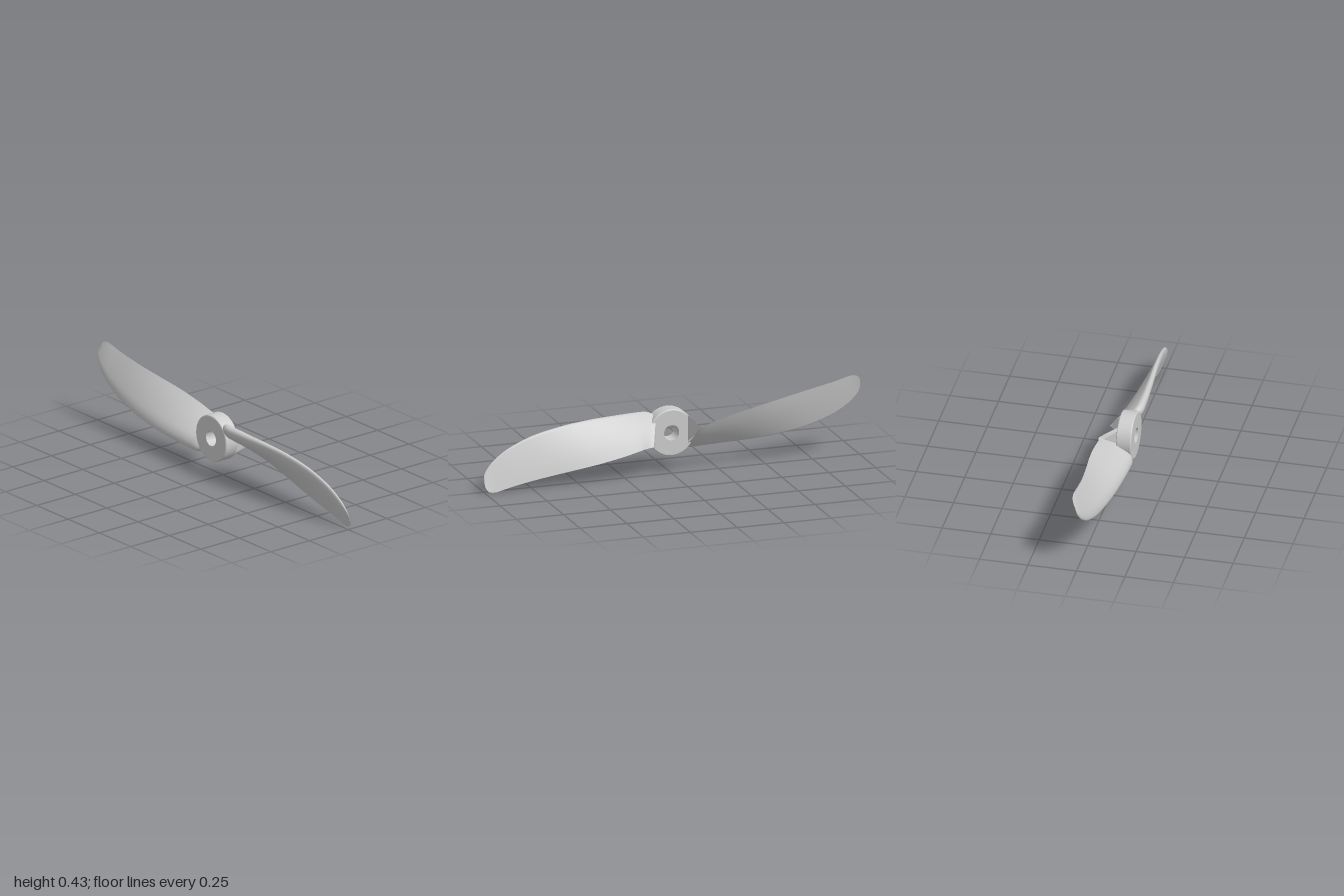
import * as THREE from 'three';
import { toCreasedNormals } from 'three/addons/utils/BufferGeometryUtils.js';
import { ConvexGeometry } from 'three/addons/geometries/ConvexGeometry.js';

const HUB_Y = 0.212;
const material = new THREE.MeshStandardMaterial({ color: 0xcccccc });
const bladeMaterial = new THREE.MeshStandardMaterial({ color: 0xcccccc, side: THREE.DoubleSide });
const v3 = (p) => new THREE.Vector3(...p);

// Ring hub with softened rims, its axis along z
function hubGeometry() {
  const hole = 0.04, R = 0.122, back = -0.002, front = 0.077, b = 0.007;
  const profile = [[hole, back], [R - b, back]];
  for (let i = 1; i <= 4; i++) {
    const a = (i / 4) * Math.PI / 2;
    profile.push([R - b + b * Math.sin(a), back + b - b * Math.cos(a)]);
  }
  for (let i = 0; i <= 4; i++) {
    const a = (i / 4) * Math.PI / 2;
    profile.push([R - b + b * Math.cos(a), front - b + b * Math.sin(a)]);
  }
  profile.push([hole, front], [hole, back]);
  const lathe = new THREE.LatheGeometry(profile.map((p) => new THREE.Vector2(...p)), 72);
  return toCreasedNormals(lathe.rotateX(Math.PI / 2), 0.15);
}

// Stations from root to tip:
// x, leading edge y z, trailing edge y z, back nose radius, back camber, front bulge
const stations = [
  [0.085, 0.300, 0.066, 0.171, -0.087, 0.013, 0.014, 0.030],
  [0.12, 0.308, 0.080, 0.168, -0.084, 0.017, 0.014, 0.035],
  [0.18, 0.309, 0.080, 0.158, -0.077, 0.016, 0.013, 0.034],
  [0.28, 0.307, 0.075, 0.132, -0.073, 0.014, 0.012, 0.030],
  [0.42, 0.302, 0.065, 0.102, -0.064, 0.012, 0.010, 0.025],
  [0.57, 0.288, 0.051, 0.075, -0.048, 0.010, 0.008, 0.021],
  [0.73, 0.257, 0.037, 0.046, -0.033, 0.008, 0.004, 0.017],
  [0.86, 0.208, 0.024, 0.020, -0.028, 0.006, 0.002, 0.014],
  [0.94, 0.157, 0.014, 0.000, -0.026, 0.004, 0.001, 0.011],
  [0.98, 0.116, 0.007, 0.005, -0.024, 0.003, 0, 0.007],
  [0.996, 0.09, 0.002, 0.027, -0.018, 0.002, 0, 0.003],
  [1.0, 0.068, -0.003, 0.052, -0.008, 0.0005, 0, 0.0005],
];

// Quarter-ellipse nose up to n, then a taper to the trailing edge
const fullness = (u, n, power) => (u < n
  ? Math.sqrt(1 - (1 - u / n) ** 2)
  : 1 - ((u - n) / (1 - n)) ** power);

// Twisted airfoil, full on the front, lofted through the stations
function bladeGeometry() {
  const curve = (pick) => new THREE.CatmullRomCurve3(stations.map((s) => v3(pick(s))), false, 'catmullrom', 0.5);
  const lead = curve((s) => [s[0], s[1], s[2]]);
  const trail = curve((s) => [s[0], s[3], s[4]]);
  const form = curve((s) => s.slice(5));
  const along = 88, half = 20, ring = 2 * half + 1;
  const pos = [], index = [];
  for (let i = 0; i <= along; i++) {
    const t = i / along;
    const L = lead.getPoint(t), T = trail.getPoint(t);
    const { x: radius, y: camber, z: bulge } = form.getPoint(t);
    const dy = T.y - L.y, dz = T.z - L.z, len = Math.hypot(dy, dz);
    const ny = -dz / len, nz = dy / len;
    const nose = Math.min(0.3, radius / len);
    for (let j = 0; j < ring; j++) {
      const s = (j - half) / half, u = s * s;
      const offset = s < 0
        ? radius * fullness(u, nose, 1) + camber * 4 * u * (1 - u)
        : -bulge * fullness(u, 0.25, 1.4);
      const z = L.z + dz * u + nz * offset;
      // behind the hub the root end is cut on a slant
      const slant = -0.45 * Math.min(z, 0) * Math.max(0, 1 - (L.x - 0.085) / 0.1);
      pos.push(L.x + slant, L.y + dy * u + ny * offset, z);
    }
  }
  for (let i = 0; i < along; i++) {
    for (let j = 0; j < ring - 1; j++) {
      const a = i * ring + j, b = a + ring;
      index.push(a, a + 1, b, a + 1, b + 1, b);
    }
  }
  const geometry = new THREE.BufferGeometry();
  geometry.setAttribute('position', new THREE.Float32BufferAttribute(pos, 3));
  geometry.setIndex(index);
  geometry.computeVertexNormals();
  return geometry;
}

// Wedge filling the corner between the hub and the blade root
function rootGeometry() {
  const onCut = (y, z) => [0.085 - 0.45 * z, y, z];
  return new ConvexGeometry([
    onCut(0.127, 0), onCut(0.268, 0), onCut(0.230, -0.04), onCut(0.171, -0.086),
    [0.085, 0.13, 0.03], [0.06, 0.2, 0.06], [0.127, 0.185, -0.07],
    [0.1, 0.255, 0.005], [0.085, 0.285, 0.045],
  ].map(v3));
}

export function createModel() {
  const model = new THREE.Group();
  model.name = 'propeller';
  const add = (parent, name, geometry, mat) => {
    const mesh = new THREE.Mesh(geometry, mat);
    mesh.name = name;
    parent.add(mesh);
    return mesh;
  };
  add(model, 'hub', hubGeometry(), material).position.y = HUB_Y;

  // Two identical blades, half a turn apart about the hub axis
  const blade = bladeGeometry().translate(0, -HUB_Y, 0);
  const root = rootGeometry().translate(0, -HUB_Y, 0);
  ['leftBlade', 'rightBlade'].forEach((name, i) => {
    const group = new THREE.Group();
    group.name = name;
    group.position.y = HUB_Y;
    group.rotation.z = i * Math.PI;
    add(group, 'bladeSurface', blade, bladeMaterial);
    add(group, 'bladeRoot', root, material);
    model.add(group);
  });
  return model;
}
